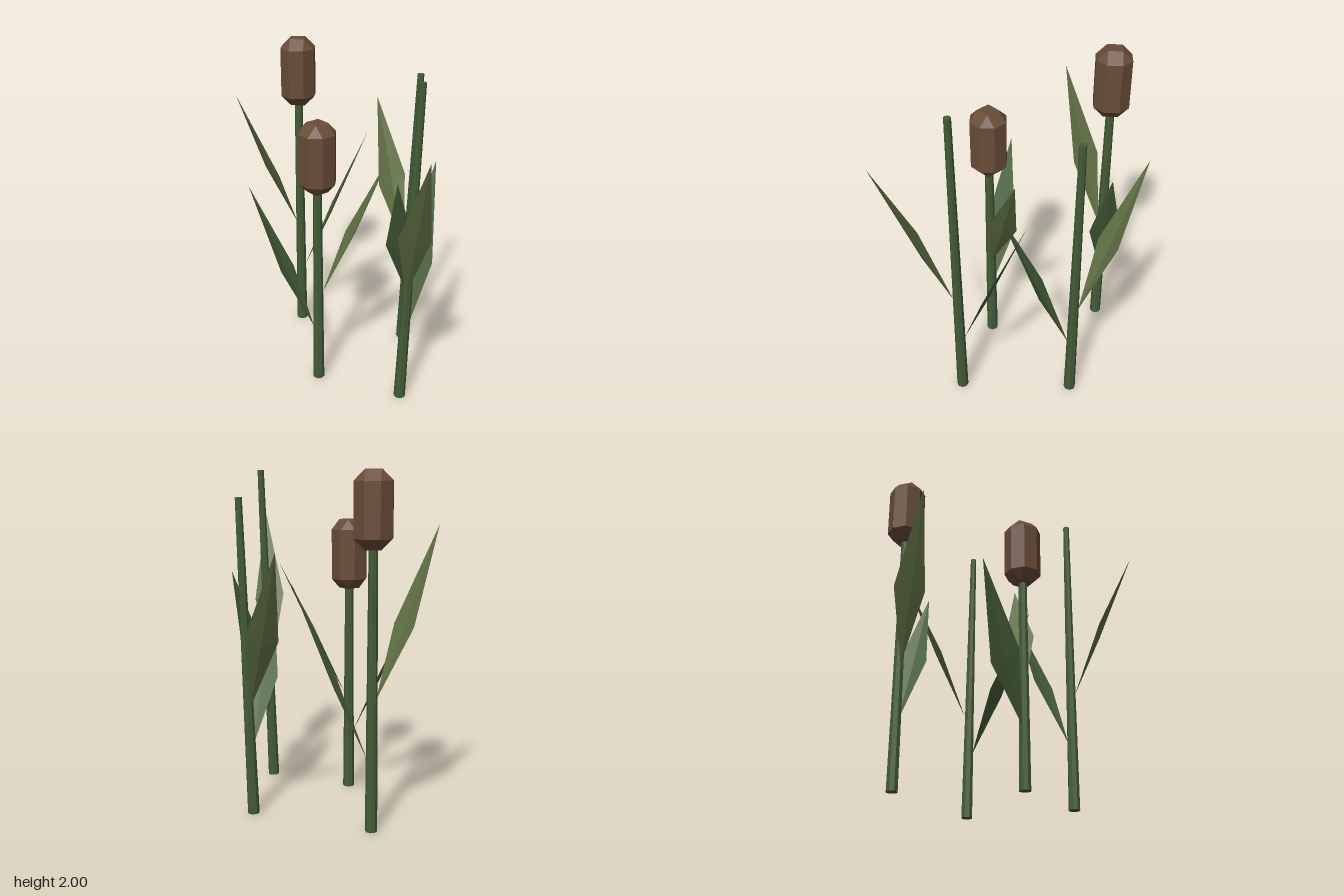
import * as THREE from 'three';
import { ConvexGeometry } from 'three/addons/geometries/ConvexGeometry.js';

const material = (color, side = THREE.FrontSide) =>
  new THREE.MeshStandardMaterial({ color, side, flatShading: true });

const stemMat = material(0x435c37);
const headMat = material(0x694c38);
const lowLeafMat = material(0x47603a, THREE.DoubleSide);
const highLeafMat = material(0x5f7043, THREE.DoubleSide);

function add(group, name, geometry, mat) {
  const mesh = new THREE.Mesh(geometry, mat);
  mesh.name = name;
  group.add(mesh);
  return mesh;
}

// Tapered eight-sided stem between two points
function addStem(group, from, to, topRadius) {
  const a = new THREE.Vector3(...from), b = new THREE.Vector3(...to);
  const dir = b.clone().sub(a);
  const mesh = add(group, 'stem', new THREE.CylinderGeometry(topRadius, 0.035, dir.length(), 8), stemMat);
  mesh.position.copy(a).add(b).multiplyScalar(0.5);
  mesh.quaternion.setFromUnitVectors(new THREE.Vector3(0, 1, 0), dir.normalize());
}

// Seed head: a tall box with every edge chamfered
function addHead(group, x, y, z, turn) {
  const w = 0.103, h = 0.21, c = 0.06;
  const points = [];
  for (const sx of [-1, 1]) for (const sy of [-1, 1]) for (const sz of [-1, 1]) {
    points.push(
      new THREE.Vector3(sx * w, sy * (h - c), sz * (w - c)),
      new THREE.Vector3(sx * (w - c), sy * h, sz * (w - c)),
      new THREE.Vector3(sx * (w - c), sy * (h - c), sz * w));
  }
  const mesh = add(group, 'seedHead', new ConvexGeometry(points), headMat);
  mesh.position.set(x, y, z);
  mesh.rotation.y = turn;
}

// Diamond leaf folded along its rib: base, two side corners, tip
function addLeaf(group, name, mat, base, sideA, sideB, tip) {
  const rib = base.map((v, i) => v + (tip[i] - v) * 0.43);
  rib[1] -= 0.025;
  const geometry = new THREE.BufferGeometry();
  geometry.setAttribute('position',
    new THREE.Float32BufferAttribute([base, sideA, tip, sideB, rib].flat(), 3));
  geometry.setIndex([0, 4, 1, 1, 4, 2, 0, 3, 4, 3, 2, 4]);
  const flat = geometry.toNonIndexed();
  flat.computeVertexNormals();
  add(group, name, flat, mat);
}

// Each plant: stem ends, optional head turn, and the corners of its two leaves
const plants = [
  {
    name: 'tallHeadedReed', from: [-0.262, 0, -0.55], to: [-0.262, 1.62, -0.55], head: 0,
    low: [[-0.235, 0.42, -0.55], [-0.06, 0.85, -0.65], [-0.06, 0.85, -0.46], [0.179, 1.4, -0.555]],
    high: [[-0.28, 0.75, -0.53], [-0.37, 1.155, -0.358], [-0.483, 1.16, -0.508], [-0.612, 1.704, -0.291]],
  },
  {
    name: 'shortHeadedReed', from: [-0.07, 0, 0.155], to: [-0.07, 1.32, 0.155], head: Math.PI / 4,
    low: [[-0.1, 0.37, 0.15], [-0.289, 0.76, 0.189], [-0.238, 0.71, 0.008], [-0.494, 1.25, 0.039]],
    high: [[-0.045, 0.61, 0.15], [0.08, 0.95, -0.012], [0.152, 1.03, 0.161], [0.337, 1.45, -0.012]],
  },
  {
    name: 'backBareReed', from: [0.446, 0, -0.36], to: [0.5, 1.845, -0.36],
    low: [[0.45, 0.4, -0.335], [0.51, 0.8, -0.154], [0.325, 0.785, -0.173], [0.388, 1.31, 0.071]],
    high: [[0.445, 0.66, -0.385], [0.262, 1.06, -0.492], [0.427, 1.11, -0.59], [0.23, 1.58, -0.742]],
  },
  {
    name: 'frontBareReed', from: [0.446, 0, 0.315], to: [0.503, 1.99, 0.315],
    low: [[0.46, 0.42, 0.29], [0.435, 0.85, 0.087], [0.608, 0.85, 0.161], [0.608, 1.403, -0.09]],
    high: [[0.46, 0.73, 0.34], [0.585, 1.15, 0.484], [0.404, 1.18, 0.53], [0.553, 1.704, 0.738]],
  },
];

export function createModel() {
  const model = new THREE.Group();
  model.name = 'reeds';
  for (const p of plants) {
    const plant = new THREE.Group();
    plant.name = p.name;
    const headed = p.head !== undefined;
    addStem(plant, p.from, p.to, headed ? 0.025 : 0.02);
    if (headed) addHead(plant, p.to[0], p.to[1] + 0.17, p.to[2], p.head);
    addLeaf(plant, 'lowerLeaf', lowLeafMat, ...p.low);
    addLeaf(plant, 'upperLeaf', highLeafMat, ...p.high);
    model.add(plant);
  }
  return model;
}
